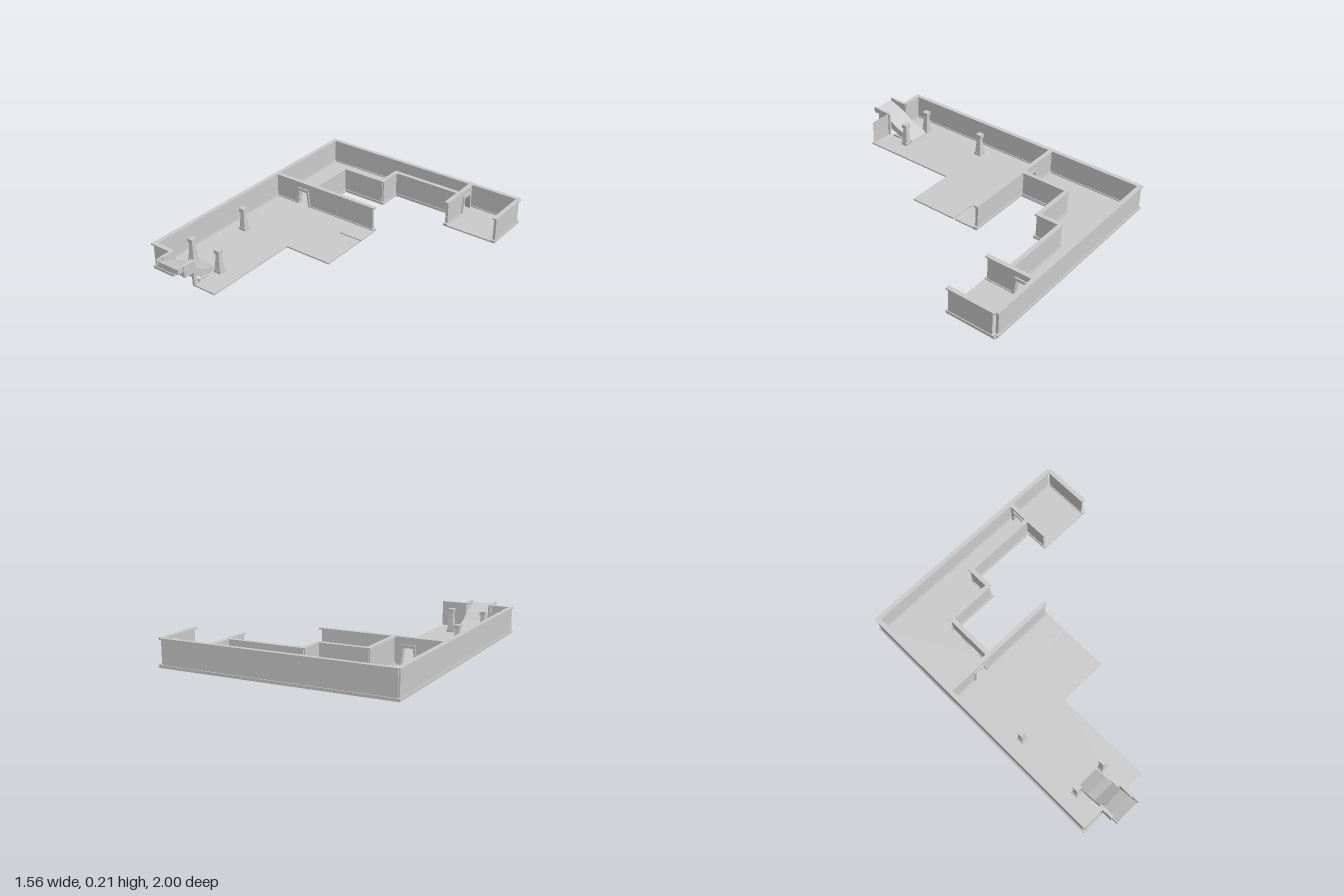
import * as THREE from 'three';

const mat = new THREE.MeshStandardMaterial({ color: 0xcccccc, flatShading: true });
const thin = new THREE.MeshStandardMaterial({ color: 0xcccccc, flatShading: true });
const FLOOR = 0.04, BASE = 0.03, TOP = 0.21;

function add(parent, name, geometry, material = mat) {
  const m = new THREE.Mesh(geometry, material);
  m.name = name;
  parent.add(m);
  return m;
}

// box given by its two opposite corners
function box(parent, name, x0, x1, y0, y1, z0, z1) {
  const m = add(parent, name, new THREE.BoxGeometry(x1 - x0, y1 - y0, z1 - z0));
  m.position.set((x0 + x1) / 2, (y0 + y1) / 2, (z0 + z1) / 2);
  return m;
}

function outline(points) {
  return new THREE.Shape(points.map(([a, b]) => new THREE.Vector2(a, b)));
}

function slab(points, depth) {
  return new THREE.ExtrudeGeometry(outline(points), { depth, bevelEnabled: false });
}

// straight wall with a wider cap and skirting; door is the distance of its centre along the wall
function wall(parent, name, x0, z0, x1, z1, door) {
  const g = new THREE.Group();
  g.name = name;
  const L = Math.hypot(x1 - x0, z1 - z0), t = 0.018;
  g.position.set(x0, 0, z0);
  g.rotation.y = -Math.atan2(z1 - z0, x1 - x0);
  const notch = door === undefined ? [] :
    [[door - 0.045, BASE], [door - 0.032, 0.145], [door + 0.032, 0.145], [door + 0.045, BASE]];
  const panel = add(g, 'panel', slab([[0, BASE], ...notch, [L, BASE], [L, TOP], [0, TOP]], t));
  panel.position.z = -t / 2;
  box(g, 'cap', -0.015, L + 0.015, 0.2, TOP, -0.015, 0.015);
  const runs = door === undefined ? [[-0.015, L + 0.015]] :
    [[-0.015, door - 0.05], [door + 0.05, L + 0.015]];
  for (const [a, b] of runs) box(g, 'skirting', a, b, BASE, 0.048, -0.015, 0.015);
  if (door !== undefined) {
    // tapered door surround
    const frame = add(g, 'doorFrame', slab([
      [door - 0.06, FLOOR], [door - 0.044, 0.165], [door + 0.044, 0.165], [door + 0.06, FLOOR],
      [door + 0.045, FLOOR], [door + 0.032, 0.145], [door - 0.032, 0.145], [door - 0.045, FLOOR]], 0.036));
    frame.position.z = -0.018;
  }
  parent.add(g);
}

// free-standing tapered pillar with plinth and head
function pillar(parent, x, z) {
  const g = new THREE.Group();
  g.name = 'pillar';
  g.position.set(x, 0, z);
  box(g, 'plinth', -0.025, 0.025, FLOOR, 0.06, -0.025, 0.025);
  const shaft = add(g, 'shaft', new THREE.CylinderGeometry(0.018, 0.03, 0.115, 4, 1).rotateY(Math.PI / 4));
  shaft.position.y = 0.1175;
  box(g, 'head', -0.02, 0.02, 0.175, 0.2, -0.02, 0.02);
  parent.add(g);
}

export function createModel() {
  const root = new THREE.Group();
  root.name = 'floorPlan';

  // floor of hall, corridor and end room, with a slit and a recess under the stairs
  const plan = [
    [-0.78, -0.99], [0.78, -0.99], [0.78, -0.645], [0.39, -0.645], [0.39, -0.8], [-0.09, -0.8],
    [-0.09, -0.635], [-0.41, -0.635], [-0.41, -0.32], [0.07, -0.32], [0.07, -0.146], [-0.1, -0.146],
    [-0.1, -0.136], [0.07, -0.136], [0.07, 0.2], [-0.27, 0.2], [-0.27, 0.88], [-0.435, 0.88],
    [-0.435, 0.78], [-0.615, 0.78], [-0.615, 0.88], [-0.78, 0.88]];
  const floor = add(root, 'floor', slab(plan, FLOOR - BASE).rotateX(Math.PI / 2));
  floor.position.y = FLOOR;

  // outer walls
  wall(root, 'rightSideWall', -0.765, -0.98, -0.765, 0.87);
  wall(root, 'backWall', -0.765, -0.98, 0.75, -0.98);
  wall(root, 'endRoomSideWall', 0.765, -0.965, 0.765, -0.66);
  wall(root, 'frontWall', -0.765, 0.87, -0.63, 0.87);

  // inner side of the stepped corridor
  const path = [[0.39, -0.815], [-0.107, -0.815], [-0.107, -0.65], [-0.43, -0.65], [-0.43, -0.32]];
  for (let i = 0; i < path.length - 1; i++) wall(root, 'corridorWall', ...path[i], ...path[i + 1]);

  // partitions with doors
  wall(root, 'hallPartition', -0.765, -0.305, 0.055, -0.305, 0.24);
  wall(root, 'endRoomPartition', 0.405, -0.97, 0.405, -0.66, 0.07);

  // thin front panel that faces into the hall
  const panel = add(root, 'frontInnerPanel', new THREE.PlaneGeometry(0.16, TOP - BASE).rotateY(Math.PI), thin);
  panel.position.set(-0.35, (TOP + BASE) / 2, 0.865);

  for (const [x, z] of [[-0.635, 0.2], [-0.635, 0.68], [-0.41, 0.68]]) pillar(root, x, z);

  // entrance: ramp rising to a landing that passes through the front wall
  const entrance = new THREE.Group();
  entrance.name = 'entrance';
  root.add(entrance);
  const ramp = add(entrance, 'ramp', slab([
    [-0.66, FLOOR], [-0.66, 0.048], [-0.74, 0.085], [-0.8, 0.105], [-0.87, 0.15], [-0.93, 0.175],
    [-0.995, 0.2], [-0.995, 0.17], [-0.95, 0.17], [-0.95, 0.13], [-0.88, 0.13], [-0.88, 0.09],
    [-0.8, 0.06], [-0.76, FLOOR]], 0.155));
  ramp.rotation.y = Math.PI / 2;
  ramp.position.x = -0.605;
  for (const x of [-0.615, -0.44]) {
    box(entrance, 'cheek', x - 0.01, x + 0.01, 0.13, TOP, 0.87, 0.955);
    box(entrance, 'doorJamb', x - 0.008, x + 0.008, BASE, 0.2, 0.855, 0.88);
    box(entrance, 'railEnd', x - 0.005, x + 0.005, 0.172, 0.212, 0.95, 1.0);
  }
  box(entrance, 'footing', -0.455, -0.44, 0, 0.05, 0.75, 0.83);

  return root;
}
